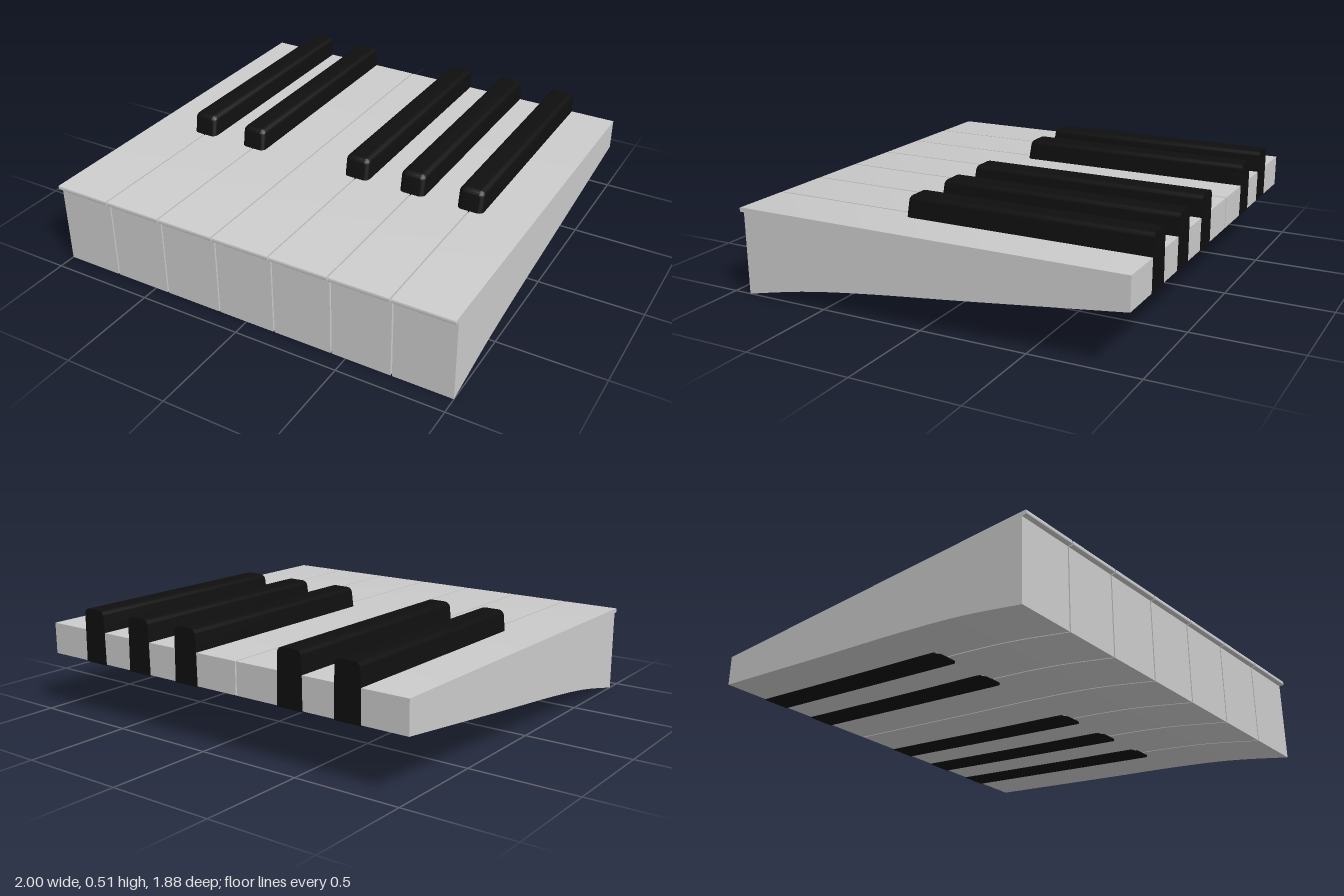
import * as THREE from 'three';
import { toCreasedNormals } from 'three/addons/utils/BufferGeometryUtils.js';
import { RoundedBoxGeometry } from 'three/addons/geometries/RoundedBoxGeometry.js';

const TOP = 0.408, BACK = -0.94, GAP = 0.007;
const WIDTH = (2 - 6 * GAP) / 7, PITCH = WIDTH + GAP;

// White key: side profile (z, y) with a front lip and a curved underside
function whiteKeyGeometry() {
  const s = new THREE.Shape();
  s.moveTo(BACK, 0.26);
  s.splineThru([[-0.2, 0.17], [0.25, 0.117], [0.6, 0.066], [0.915, 0]].map(p => new THREE.Vector2(...p)));
  s.lineTo(0.915, 0.387);
  s.lineTo(0.932, 0.387);
  s.quadraticCurveTo(0.938, 0.387, 0.938, 0.393);
  s.lineTo(0.938, 0.402);
  s.quadraticCurveTo(0.938, TOP, 0.932, TOP);
  s.lineTo(BACK, TOP);
  s.closePath();
  const g = new THREE.ExtrudeGeometry(s, { depth: WIDTH, bevelEnabled: false, curveSegments: 6 });
  g.rotateY(-Math.PI / 2).translate(WIDTH / 2, 0, 0);
  return toCreasedNormals(g, 0.6);
}

// Black key: rounded bar with a flat back, sloping front and a base that just clears the underside
function blackKeyGeometry() {
  const top = 0.509, front = 0.188, back = BACK - 0.0015, height = 0.3;
  const g = new RoundedBoxGeometry(0.13, height, front - back, 4, 0.027);
  const p = g.attributes.position;
  for (let i = 0; i < p.count; i++) {
    const lower = p.getY(i) < 0;
    const rear = p.getZ(i) < 0;
    let y = p.getY(i) + top - height / 2;
    let z = rear ? back : p.getZ(i) + (front + back) / 2;
    if (lower) y = 0.113;
    if (!rear) z += 0.158 * (top - y);
    if (lower) y = THREE.MathUtils.mapLinear(z, 0.25, back, 0.113, 0.256);
    const taper = y > TOP ? 1 - 0.7 * (y - TOP) : 1;
    p.setXYZ(i, p.getX(i) * taper, y, z);
  }
  return toCreasedNormals(g, 0.6);
}

export function createModel() {
  const model = new THREE.Group();
  model.name = 'pianoOctave';
  const white = new THREE.MeshStandardMaterial({ color: 0xcccccc });
  const black = new THREE.MeshStandardMaterial({ color: 0x0f0f0f });

  // Seven white keys
  const whiteGeo = whiteKeyGeometry();
  for (let i = 0; i < 7; i++) {
    const key = new THREE.Mesh(whiteGeo, white);
    key.name = `whiteKey${i + 1}`;
    key.position.x = (i - 3) * PITCH;
    model.add(key);
  }

  // Five black keys over the joints, skipping the third
  const blackGeo = blackKeyGeometry();
  [-2.5, -1.5, 0.5, 1.5, 2.5].forEach((joint, i) => {
    const key = new THREE.Mesh(blackGeo, black);
    key.name = `blackKey${i + 1}`;
    key.position.x = joint * PITCH;
    model.add(key);
  });
  return model;
}
